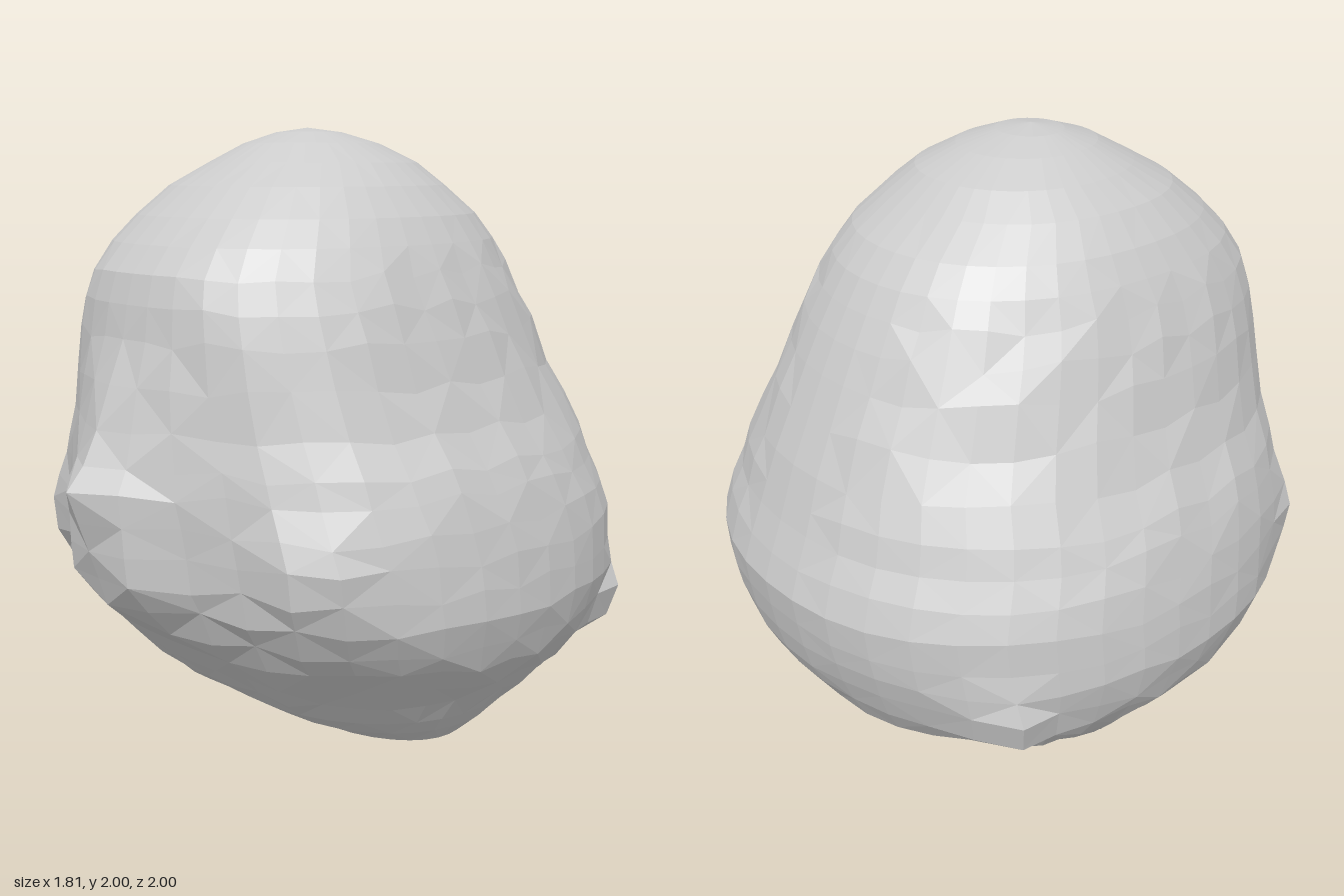
import * as THREE from 'three';

// Horizontal sections: height, half width, front z, back z, squareness of the front
const SECTIONS = [
  [0.00, 0.00, -0.08, -0.08, 2.0],
  [0.00, 0.40, 0.05, -0.18, 2.0],
  [0.05, 0.54, 0.20, -0.36, 2.1],
  [0.11, 0.60, 0.32, -0.52, 2.2],
  [0.17, 0.65, 0.41, -0.63, 2.2],
  [0.24, 0.71, 0.49, -0.77, 2.2],
  [0.32, 0.78, 0.56, -0.85, 2.3],
  [0.41, 0.85, 0.64, -0.91, 2.4],
  [0.49, 0.88, 0.70, -0.95, 2.4],
  [0.58, 0.905, 0.74, -0.975, 2.5],
  [0.67, 0.90, 0.76, -0.99, 2.5],
  [0.76, 0.89, 0.77, -1.00, 2.5],
  [0.85, 0.87, 0.78, -0.97, 2.5],
  [0.95, 0.84, 0.79, -0.93, 2.4],
  [1.02, 0.81, 0.79, -0.905, 2.4],
  [1.12, 0.75, 0.79, -0.87, 2.35],
  [1.25, 0.695, 0.79, -0.81, 2.35],
  [1.38, 0.655, 0.78, -0.75, 2.4],
  [1.48, 0.62, 0.77, -0.70, 2.4],
  [1.57, 0.58, 0.745, -0.65, 2.4],
  [1.65, 0.54, 0.68, -0.60, 2.4],
  [1.73, 0.49, 0.60, -0.53, 2.35],
  [1.82, 0.41, 0.49, -0.41, 2.3],
  [1.89, 0.32, 0.37, -0.32, 2.1],
  [1.95, 0.21, 0.26, -0.19, 2.0],
  [1.985, 0.11, 0.15, -0.06, 2.0],
  [2.00, 0.00, 0.05, 0.05, 2.0],
];
const SEGMENTS = 40;

// Beak: height, depth, half width of its flat front
const BEAK = [
  [0.43, 0, 0.15], [0.58, 0.13, 0.05], [0.68, 0.14, 0.15], [0.95, 0.21, 0],
  [1.02, 0.15, 0], [1.12, 0.1, 0], [1.25, 0.05, 0], [1.4, 0, 0],
];

// Pointed corners: x, y, z, outward push, forward push, spread
const CORNERS = [
  [0.68, 0.46, -0.62, 0.09, -0.02, 0.012], // back spurs
  [0.61, 0.74, 0.59, 0.06, 0.04, 0.02], // cheeks
];

function beakOffset(x, y) {
  const k = BEAK.findIndex(([top]) => y <= top);
  if (k < 1) return 0;
  const t = THREE.MathUtils.inverseLerp(BEAK[k - 1][0], BEAK[k][0], y);
  const depth = THREE.MathUtils.lerp(BEAK[k - 1][1], BEAK[k][1], t);
  const flat = THREE.MathUtils.lerp(BEAK[k - 1][2], BEAK[k][2], t);
  return depth * THREE.MathUtils.clamp((0.33 - x) / (0.33 - flat), 0, 1);
}

function bodyPoint([y, w, front, back, square], i) {
  const angle = (i / SEGMENTS) * Math.PI * 2;
  const s = Math.sin(angle);
  const c = Math.cos(angle);
  const n = c > 0 ? square : 2.1;
  const r = Math.pow(Math.abs(s) ** n + Math.abs(c) ** n, -1 / n);
  const p = new THREE.Vector3(w * r * s, y, (front + back) / 2 + ((front - back) / 2) * r * c);
  const ax = Math.abs(p.x);

  // Beak ridge down the middle of the face
  if (c > 0) p.z += beakOffset(ax, y);

  // Cheeks and back spurs
  for (const [cx, cy, cz, out, forward, spread] of CORNERS) {
    const pull = Math.exp(-((ax - cx) ** 2 + (y - cy) ** 2 + (p.z - cz) ** 2) / spread);
    p.x += Math.sign(s) * out * pull;
    p.z += forward * pull;
  }

  // Groove between the two lobes of the underside
  p.y += 0.05 * Math.exp(-((ax / 0.2) ** 2)) * Math.max(0, 1 - y / 0.3);

  // Slight mirrored unevenness of the facets
  if (y > 0.2 && y < 1.6 && ax > 0.2) p.y += 0.014 * Math.sin(ax * 37 + y * 23 + p.z * 29);
  return p;
}

function bodyGeometry() {
  const rows = SECTIONS.map((section) => Array.from({ length: SEGMENTS + 1 }, (_, i) => bodyPoint(section, i % SEGMENTS)));
  const points = [];
  const last = rows.length - 2;
  for (let j = 0; j <= last; j++) {
    for (let i = 0; i < SEGMENTS; i++) {
      const a = rows[j][i];
      const b = rows[j][i + 1];
      const c = rows[j + 1][i + 1];
      const d = rows[j + 1][i];
      if (j === 0) points.push(a, c, d);
      else if (j === last) points.push(a, b, c);
      else if ((i + j) % 2) points.push(a, b, c, a, c, d);
      else points.push(a, b, d, b, c, d);
    }
  }
  const geometry = new THREE.BufferGeometry().setFromPoints(points);
  geometry.computeVertexNormals();
  return geometry;
}

export function createModel() {
  const group = new THREE.Group();
  group.name = 'beakedHead';
  const material = new THREE.MeshStandardMaterial({ color: 0xcccccc, flatShading: true });
  const head = new THREE.Mesh(bodyGeometry(), material);
  head.name = 'head';
  group.add(head);
  return group;
}
